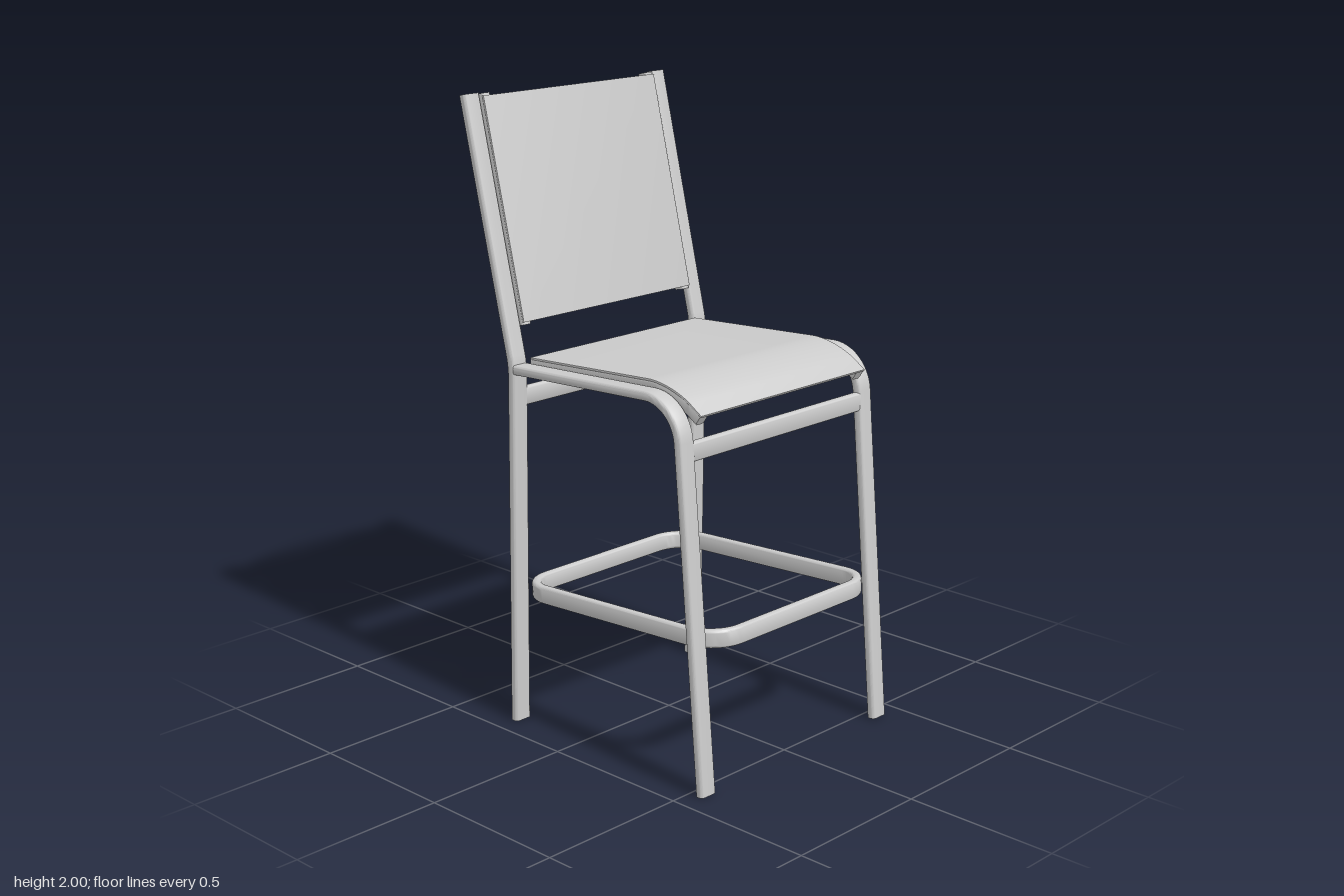
import * as THREE from 'three';
import { toCreasedNormals } from 'three/addons/utils/BufferGeometryUtils.js';

const V = (x, y, z) => new THREE.Vector3(x, y, z);
const X = V(1, 0, 0);

// Counter-clockwise rounded rectangle section, w along the axis and h across it
function section(w, h, r, steps = 5) {
  const pts = [];
  [[1, 1], [-1, 1], [-1, -1], [1, -1]].forEach(([sx, sy], q) => {
    for (let i = 0; i <= steps; i++) {
      const a = (q + i / steps) * Math.PI / 2;
      pts.push([sx * (w / 2 - r) + r * Math.cos(a), sy * (h / 2 - r) + r * Math.sin(a)]);
    }
  });
  return pts;
}

// Polyline with its corners rounded; reach is the length trimmed off each side
function rounded(pts, reach, closed = false, steps = 12) {
  const out = [], n = pts.length;
  pts.forEach((p, i) => {
    if (!closed && (i === 0 || i === n - 1)) return out.push(p);
    const a = pts[(i + n - 1) % n].clone().sub(p).setLength(reach);
    const b = pts[(i + 1) % n].clone().sub(p).setLength(reach);
    const at = (d, k) => p.clone().addScaledVector(d, k);
    out.push(...new THREE.CubicBezierCurve3(at(a, 1), at(a, 0.45), at(b, 0.45), at(b, 1)).getPoints(steps));
  });
  return out;
}

// Sweep a section along a planar path whose plane is normal to the axis
function sweep(path, sec, axis, closed = false) {
  const n = path.length, m = sec.length, pos = [], idx = [];
  path.forEach((p, i) => {
    const t = V(0, 0, 0);
    if (closed || i > 0) t.add(p.clone().sub(path[(i + n - 1) % n]).normalize());
    if (closed || i < n - 1) t.add(path[(i + 1) % n].clone().sub(p).normalize());
    const side = t.normalize().cross(axis).normalize();
    for (const [u, v] of sec) {
      const q = p.clone().addScaledVector(axis, u).addScaledVector(side, v);
      pos.push(q.x, q.y, q.z);
    }
  });
  for (let i = 0; i < (closed ? n : n - 1); i++) {
    for (let j = 0; j < m; j++) {
      const k = (j + 1) % m, e = ((i + 1) % n) * m;
      idx.push(i * m + j, i * m + k, e + k, i * m + j, e + k, e + j);
    }
  }
  if (!closed) {
    const e = (n - 1) * m;
    for (let j = 1; j < m - 1; j++) idx.push(0, j + 1, j, e, e + j, e + j + 1);
  }
  const g = new THREE.BufferGeometry();
  g.setAttribute('position', new THREE.Float32BufferAttribute(pos, 3));
  g.setIndex(idx);
  return toCreasedNormals(g, Math.PI / 6);
}

export function createModel() {
  const group = new THREE.Group();
  const metal = new THREE.MeshStandardMaterial({ color: 0xcccccc });
  metal.name = 'light grey';
  const add = (name, geometry) => {
    const mesh = new THREE.Mesh(geometry, metal);
    mesh.name = name;
    group.add(mesh);
  };

  const tube = section(0.062, 0.031, 0.011);
  const rail = section(0.034, 0.038, 0.008);
  const cloth = section(0.742, 0.008, 0.003, 2);

  // Point on the leaning back frame at height y, moved forward by off
  const back = (x, y, off) => V(x, y + 0.235 * off, -0.258 - (y - 1.18) * 0.2417 + 0.972 * off);
  // Seat line, lowered by d, ending in a dropped front lip
  const seat = (x, d) => rounded([
    V(x, 1.204 - d, -0.235), V(x, 1.236 - d, 0.365), V(x, 1.157 - d * 0.7, 0.488 - d * 0.6),
  ], 0.09);

  for (const s of [1, -1]) {
    const side = s > 0 ? 'left' : 'right';
    // Front leg bends over into the seat side rail
    add(side + 'FrontLegAndSeatFrame', sweep(rounded([
      V(s * 0.404, 0.002, 0.543), V(s * 0.404, 1.202, 0.438), V(s * 0.404, 1.171, -0.246),
    ], 0.125), tube, X));
    // Rear leg continues up as the back post
    add(side + 'RearLegAndBackPost', sweep(rounded([
      V(s * 0.404, 0.001, -0.275), V(s * 0.404, 1.18, -0.258), back(s * 0.404, 1.996, 0),
    ], 0.03), tube, X));
    // Rails holding the fabric
    add(side + 'SeatFabricRail', sweep(seat(s * 0.354, 0.024), rail, X));
    add(side + 'BackFabricRail', sweep([back(s * 0.354, 1.295, 0.004), back(s * 0.354, 1.993, 0.004)], rail, X));
  }

  // Fabric panels
  add('seatFabric', sweep(seat(0, 0.005), cloth, X));
  add('backFabric', sweep([back(0, 1.303, 0.023), back(0, 1.985, 0.023)], cloth, X));

  // Cross bars under the seat
  const bar = section(0.06, 0.028, 0.01);
  const Y = V(0, 1, 0);
  add('frontCrossBar', sweep([V(-0.38, 1.045, 0.452), V(0.38, 1.045, 0.452)], bar, Y));
  add('rearCrossBar', sweep([V(-0.38, 1.08, -0.258), V(0.38, 1.08, -0.258)], bar, Y));

  // Sloping footrest ring
  const slope = V(0, 1, -0.053).normalize();
  add('footrest', sweep(rounded([
    V(-0.36, 0.472, 0.539), V(0.36, 0.472, 0.539), V(0.36, 0.427, -0.3), V(-0.36, 0.427, -0.3),
  ], 0.105, true), section(0.058, 0.03, 0.011), slope, true));

  // Bowed handle behind the back
  const bow = [];
  for (let i = 0; i <= 24; i++) {
    const x = -0.382 + 0.764 * i / 24, k = 1 - (x / 0.382) ** 2;
    bow.push(V(x, 1.93 - 0.022 * k, -0.46 - 0.084 * k));
  }
  add('backHandle', sweep(bow, section(0.027, 0.027, 0.0125), V(0, 0.967, -0.253).normalize()));

  return group;
}
